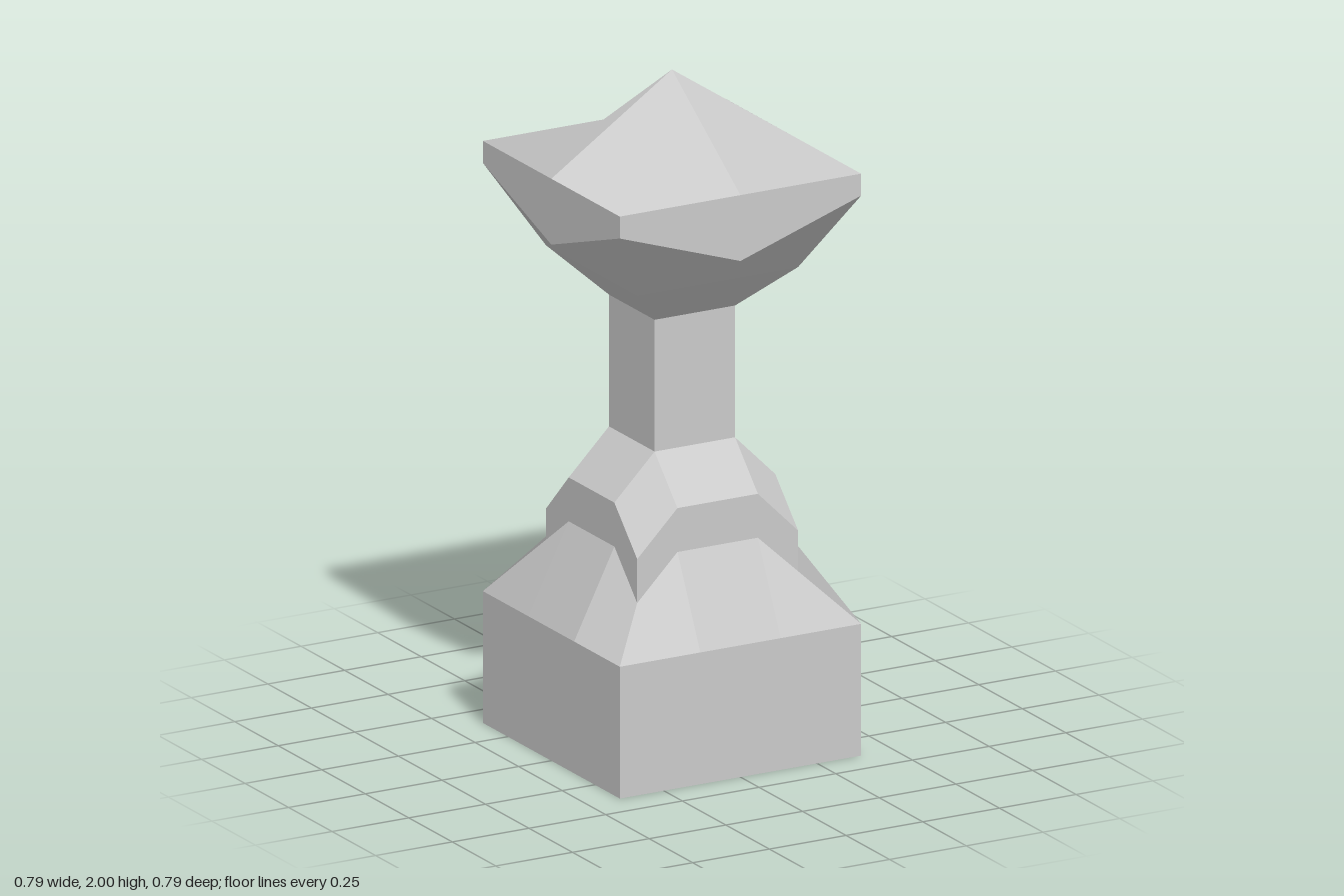
import * as THREE from 'three';

// Grid unit: the model is 15.25 units tall and 6 units wide
const U = 2 / 15.25;
const V = (x, y, z) => new THREE.Vector3(x * U, y * U, z * U);
const material = new THREE.MeshStandardMaterial({ color: 0xcccccc });

// Mirror a face across x = 0, keeping its first corner first
const mirror = ([first, ...rest]) =>
  [first, ...rest.reverse()].map(([x, y, z]) => [-x, y, z]);

// Each face is a fan from its first corner with a single shared normal;
// the faces of one side are repeated around the four sides.
function fourSided(name, faces) {
  const positions = [], normals = [];
  const up = new THREE.Vector3(0, 1, 0);
  for (let side = 0; side < 4; side++) {
    for (const face of faces) {
      const p = face.map(c => V(...c).applyAxisAngle(up, side * Math.PI / 2));
      const n = new THREE.Vector3();
      for (let i = 1; i < p.length - 1; i++) {
        n.add(p[i].clone().sub(p[0]).cross(p[i + 1].clone().sub(p[0])));
      }
      n.normalize();
      for (let i = 1; i < p.length - 1; i++) {
        for (const v of [p[0], p[i], p[i + 1]]) {
          positions.push(v.x, v.y, v.z);
          normals.push(n.x, n.y, n.z);
        }
      }
    }
  }
  const geometry = new THREE.BufferGeometry();
  geometry.setAttribute('position', new THREE.Float32BufferAttribute(positions, 3));
  geometry.setAttribute('normal', new THREE.Float32BufferAttribute(normals, 3));
  const mesh = new THREE.Mesh(geometry, material);
  mesh.name = name;
  return mesh;
}

export function createModel() {
  const group = new THREE.Group();
  group.name = 'post';

  // Square block at the foot
  const base = new THREE.Mesh(new THREE.BoxGeometry(6 * U, 3 * U, 6 * U), material);
  base.name = 'base';
  base.position.y = 1.5 * U;
  group.add(base);

  // Sloped skirt above the base
  const skirtWing = [[3, 3, 3], [2, 4, 2], [1, 5, 2], [1, 3, 3]];
  group.add(fourSided('skirt', [
    [[-1, 3, 3], [1, 3, 3], [1, 5, 2], [-1, 5, 2]],
    skirtWing, mirror(skirtWing),
  ]));

  // Collar: upright walls, sloped shoulders and bevelled corners
  const collarWing = [[1, 5, 2], [2, 4, 2], [2, 5, 2], [1, 6, 2]];
  group.add(fourSided('collar', [
    [[-1, 5, 2], [1, 5, 2], [1, 6, 2], [-1, 6, 2]],
    collarWing, mirror(collarWing),
    [[-1, 6, 2], [1, 6, 2], [1, 7, 1], [-1, 7, 1]],
    [[2, 5, 2], [2, 6, 1], [1, 7, 1], [1, 6, 2]],
  ]));

  // Square shaft
  group.add(fourSided('shaft', [
    [[-1, 7, 1], [1, 7, 1], [1, 10, 1], [-1, 10, 1]],
  ]));

  // Flared underside of the head
  const flareWing = [[0, 11.75, 3], [0, 11, 2], [2, 11, 2], [3, 12.75, 3]];
  group.add(fourSided('headUnderside', [
    [[-1, 10, 1], [1, 10, 1], [2, 11, 2], [-2, 11, 2]],
    flareWing, mirror(flareWing),
  ]));

  // Upright rim, deepest in the middle of each side
  const rim = [[0, 11.75, 3], [3, 12.75, 3], [3, 13.25, 3], [0, 13.25, 3]];
  group.add(fourSided('headRim', [rim, mirror(rim)]));

  // Pointed cap, one face per corner
  group.add(fourSided('cap', [
    [[0, 13.25, 3], [3, 13.25, 3], [3, 13.25, 0], [0, 15.25, 0]],
  ]));

  return group;
}
